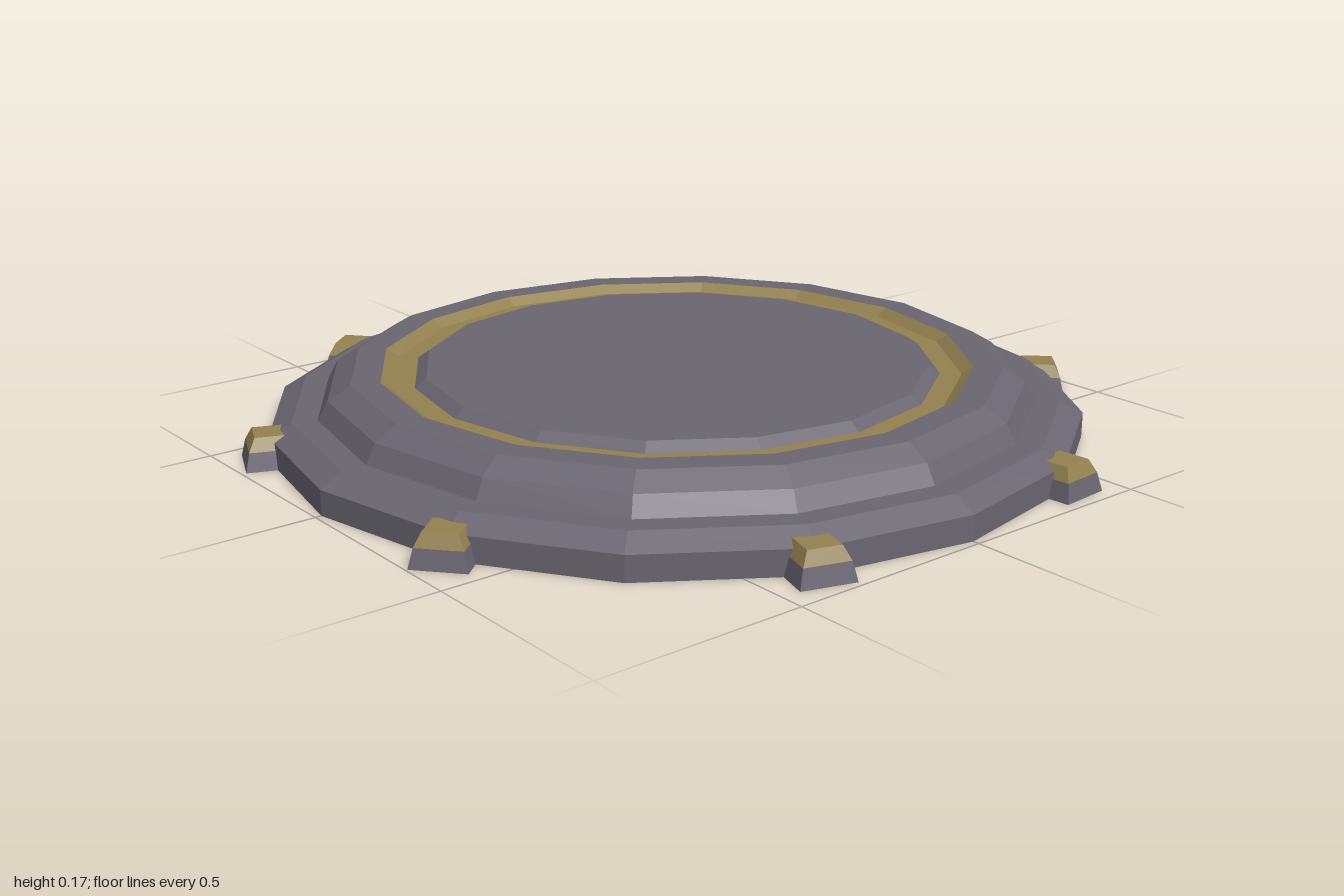
import * as THREE from 'three';

const SIDES = 16;
const stone = new THREE.MeshStandardMaterial({ color: 0x6a6671, flatShading: true });
stone.name = 'stone grey';
const brass = new THREE.MeshStandardMaterial({ color: 0x93814f, flatShading: true });
brass.name = 'dull brass';

// Faceted ring or disc from a [radius, height] profile, outer side first
function turned(name, profile, material) {
  const points = profile.map(([r, y]) => new THREE.Vector2(r, y));
  const mesh = new THREE.Mesh(new THREE.LatheGeometry(points, SIDES), material);
  mesh.name = name;
  return mesh;
}

// Square tapered block, given by its half widths at the bottom and top
function taperedBlock(name, bottom, top, y0, y1, material) {
  const geometry = new THREE.CylinderGeometry(top * Math.SQRT2, bottom * Math.SQRT2, y1 - y0, 4);
  geometry.rotateY(Math.PI / 4);
  geometry.translate(0, (y0 + y1) / 2, 0);
  const mesh = new THREE.Mesh(geometry, material);
  mesh.name = name;
  return mesh;
}

export function createModel() {
  const model = new THREE.Group();
  model.name = 'platform';

  // Stepped plinth with bevelled edges
  model.add(turned('plinth', [
    [0, 0], [0.985, 0], [0.985, 0.06], [0.93, 0.09], [0.87, 0.09],
    [0.845, 0.135], [0.79, 0.168], [0.72, 0.168],
  ], stone));

  // Shallow inlaid groove and the raised centre disc
  model.add(turned('grooveInlay', [[0.72, 0.168], [0.692, 0.148], [0.64, 0.148]], brass));
  model.add(turned('centreDisc', [[0.64, 0.148], [0.612, 0.168], [0, 0.168]], stone));

  // Eight capped studs around the rim, some slightly twisted
  const twists = [-5, -18, 0, -18, -22, 2, 22, 18];
  twists.forEach((twist, i) => {
    const angle = THREE.MathUtils.degToRad(22.5 + i * 45);
    const facing = angle + THREE.MathUtils.degToRad(twist);
    const stud = new THREE.Group();
    stud.name = 'rimStud' + (i + 1);
    stud.add(taperedBlock('studBase', 0.064, 0.054, 0, 0.044, stone));
    stud.add(taperedBlock('studCap', 0.054, 0.039, 0.044, 0.075, brass));
    stud.position.set(0.98 * Math.cos(angle), 0, 0.98 * Math.sin(angle));
    stud.rotation.y = Math.PI / 2 - facing;
    model.add(stud);
  });

  return model;
}
